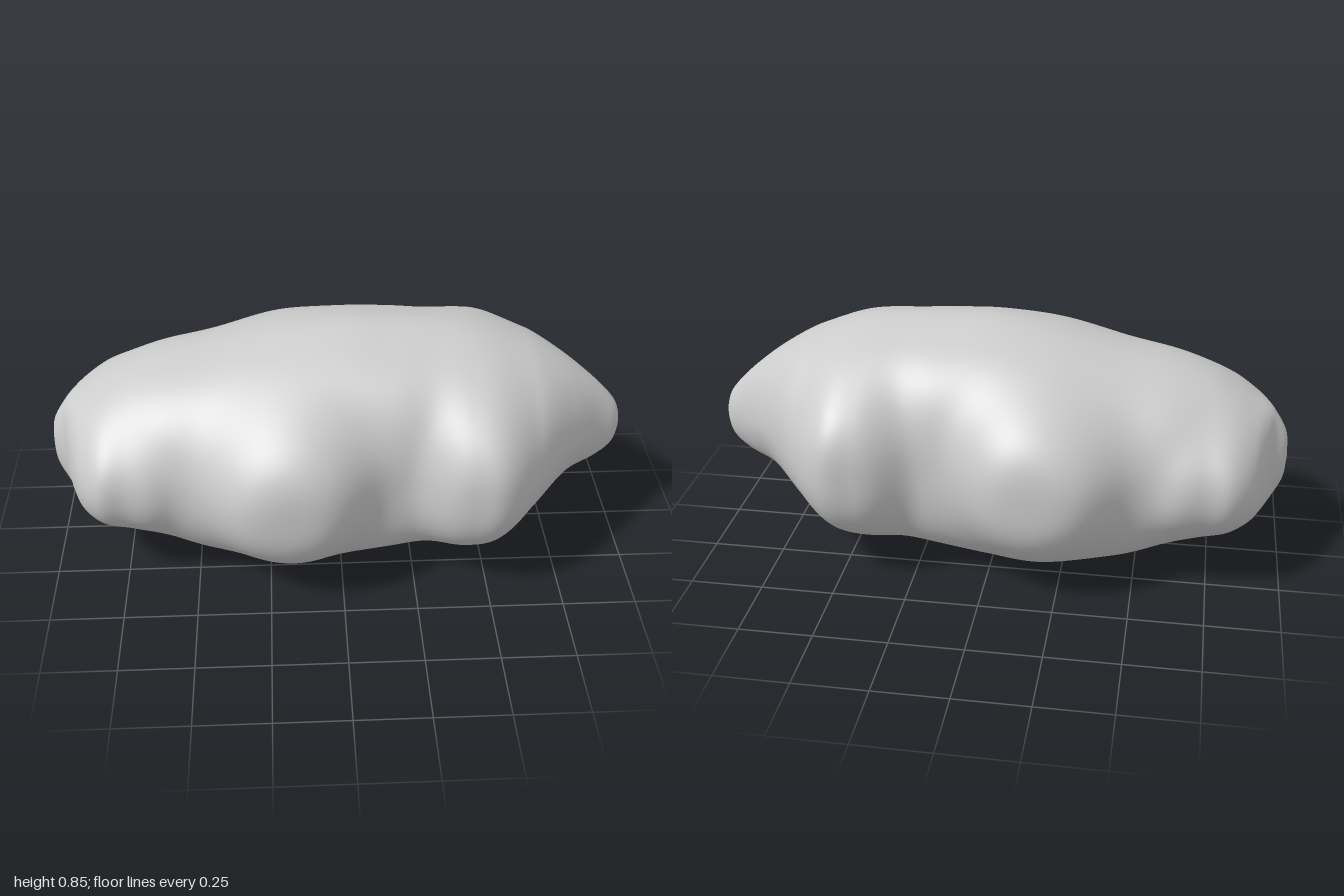
import * as THREE from 'three';

// Stations along the trunk: x, bottom, top, half width
const STATIONS = [
  [-1.0, 0.39, 0.41, 0.0],
  [-0.99, 0.31, 0.49, 0.045],
  [-0.95, 0.23, 0.56, 0.095],
  [-0.92, 0.2, 0.59, 0.18],
  [-0.88, 0.175, 0.615, 0.262],
  [-0.81, 0.144, 0.657, 0.318],
  [-0.72, 0.115, 0.7, 0.324],
  [-0.6, 0.08, 0.735, 0.355],
  [-0.44, 0.03, 0.765, 0.372],
  [-0.2, 0.005, 0.815, 0.38],
  [0.0, 0.02, 0.835, 0.378],
  [0.17, 0.048, 0.83, 0.383],
  [0.3, 0.061, 0.825, 0.371],
  [0.42, 0.073, 0.818, 0.38],
  [0.52, 0.099, 0.8, 0.386],
  [0.63, 0.15, 0.765, 0.337],
  [0.7, 0.185, 0.735, 0.3],
  [0.8, 0.23, 0.675, 0.2],
  [0.9, 0.27, 0.595, 0.105],
  [0.97, 0.325, 0.52, 0.055],
  [0.993, 0.375, 0.47, 0.025],
  [1.0, 0.42, 0.43, 0.0],
];

// Domed lobes on both flanks: centre x, centre y, radius x, radius y, height
const LOBES = [
  [-0.76, 0.36, 0.16, 0.22, 0.044],
  [-0.18, 0.42, 0.255, 0.31, 0.15],
  [0.47, 0.4, 0.19, 0.33, 0.1],
];

const bump = (v, centre, spread) => Math.exp(-(((v - centre) / spread) ** 2));
const swelling = (x, y) =>
  LOBES.reduce((sum, [cx, cy, rx, ry, height]) => {
    const r2 = ((x - cx) / rx) ** 2 + ((y - cy) / ry) ** 2;
    return sum + height * Math.exp(-r2 * r2);
  }, 0);
const curve = (pick) =>
  new THREE.CatmullRomCurve3(STATIONS.map(pick), false, 'catmullrom', 0.5);

// Lofts rounded cross-sections along x into one closed skin
function bodyGeometry(rings = 224, sides = 112) {
  const heights = curve(([x, low, high]) => new THREE.Vector3(x, low, high));
  const widths = curve(([x, , , width]) => new THREE.Vector3(x, 0, width));
  const positions = [];
  const indices = [];
  for (let i = 0; i <= rings; i++) {
    const { x, y: low, z: high } = heights.getPoint(i / rings);
    const width = Math.max(widths.getPoint(i / rings).z, 0);
    const middle = (low + high) / 2;
    const half = (high - low) / 2;
    // Squarer in the middle, with hollows under the nose
    const above = 1.95 + 0.6 * bump(x, 0.05, 0.6);
    const below = 2 + 1.1 * bump(x, 0.08, 0.55) - 0.55 * bump(x, 0.83, 0.12);
    // The lobes fade out before the tips
    const fade = Math.min(width / 0.2, 1);
    for (let j = 0; j < sides; j++) {
      const a = (j / sides) * Math.PI * 2;
      const c = Math.cos(a);
      const s = Math.sin(a);
      const power = s > 0 ? above : below;
      const r = (Math.abs(c) ** power + Math.abs(s) ** power) ** (-1 / power);
      let y = middle + half * s * r;
      const z = (width + fade * swelling(x, y)) * c * r;
      // Soft ridge along the middle of the back
      if (s > 0) y += 0.022 * s * bump(z, 0, 0.11) * bump(x, 0.15, 0.4);
      positions.push(x, y, z);
      if (i === rings) continue;
      const p = i * sides + j;
      const q = i * sides + ((j + 1) % sides);
      indices.push(p, p + sides, q, q, p + sides, q + sides);
    }
  }
  const geometry = new THREE.BufferGeometry();
  geometry.setAttribute('position', new THREE.Float32BufferAttribute(positions, 3));
  geometry.setIndex(indices);
  geometry.computeVertexNormals();
  return geometry;
}

export function createModel() {
  const group = new THREE.Group();
  const material = new THREE.MeshStandardMaterial({ color: 0xcccccc });
  const body = new THREE.Mesh(bodyGeometry(), material);
  body.name = 'lobedBody';
  group.add(body);
  return group;
}
